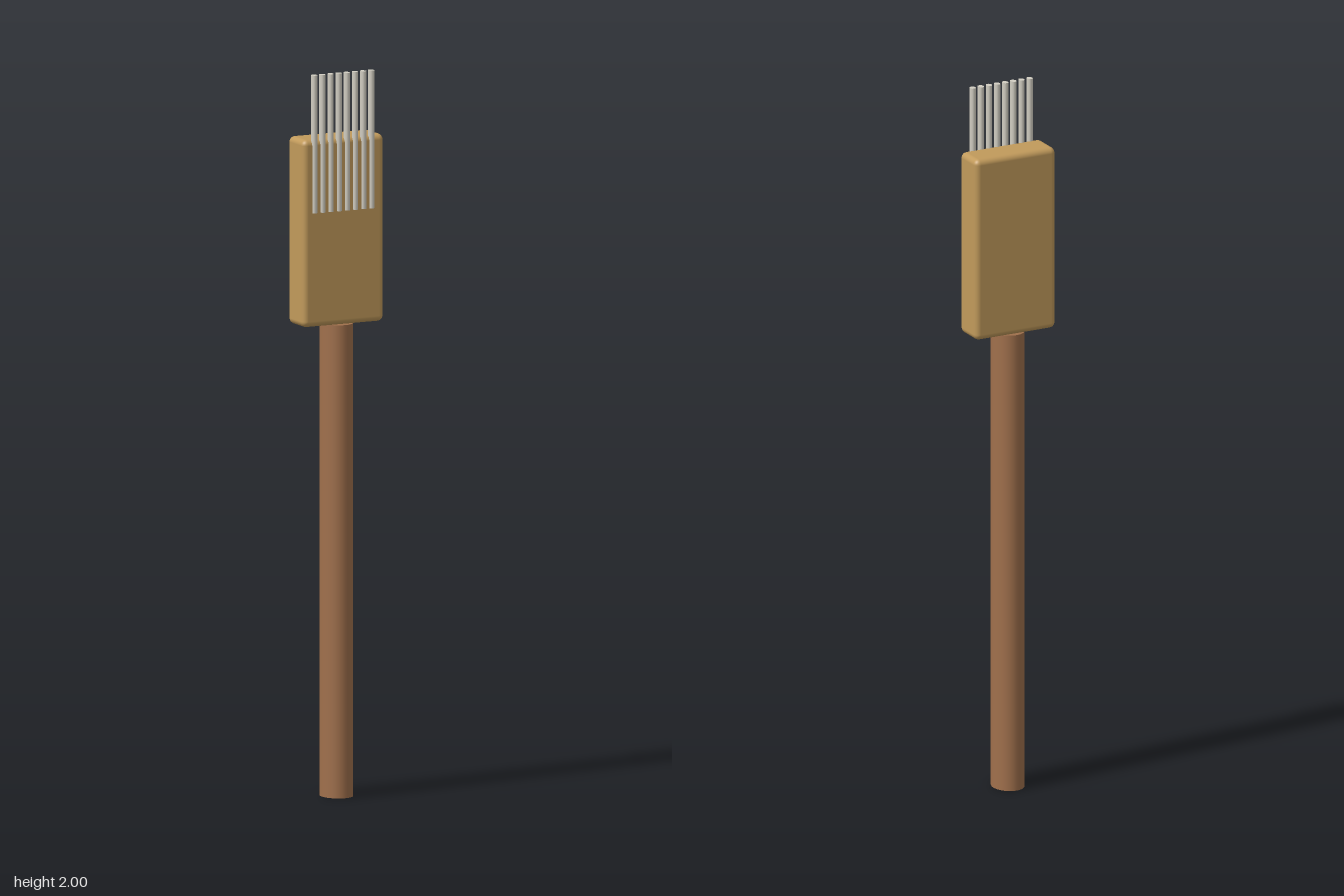
import * as THREE from 'three';
import { RoundedBoxGeometry } from 'three/addons/geometries/RoundedBoxGeometry.js';

const material = (name, color) => {
  const m = new THREE.MeshStandardMaterial({ color });
  m.name = name;
  return m;
};

export function createModel() {
  const group = new THREE.Group();
  const darkWood = material('dark wood', 0xa0704c);
  const paleWood = material('pale wood', 0xc19a5b);
  const metal = material('pale metal', 0xd2cec2);

  const add = (name, geometry, mat, x, y, z) => {
    const mesh = new THREE.Mesh(geometry, mat);
    mesh.name = name;
    mesh.position.set(x, y, z);
    group.add(mesh);
    return mesh;
  };

  // Upright rod with an oval cross-section
  const rod = (rx, rz, height, sides) =>
    new THREE.CylinderGeometry(1, 1, height, sides).scale(rx, 1, rz);

  // Long oval handle
  add('handle', rod(0.044, 0.0525, 1.305, 32), darkWood, 0, 0.6525, 0);

  // Rounded block on top of the handle
  add('head', new RoundedBoxGeometry(0.248, 0.517, 0.095, 3, 0.016),
    paleWood, 0, 1.5635, -0.002);

  // Row of thin tines half sunk into the front of the head
  const tine = rod(0.0085, 0.0105, 0.38, 10);
  for (let i = 0; i < 8; i++) {
    add(`tine${i + 1}`, tine, metal, -0.0895 + i * 0.025, 1.81, 0.0415);
  }
  return group;
}
